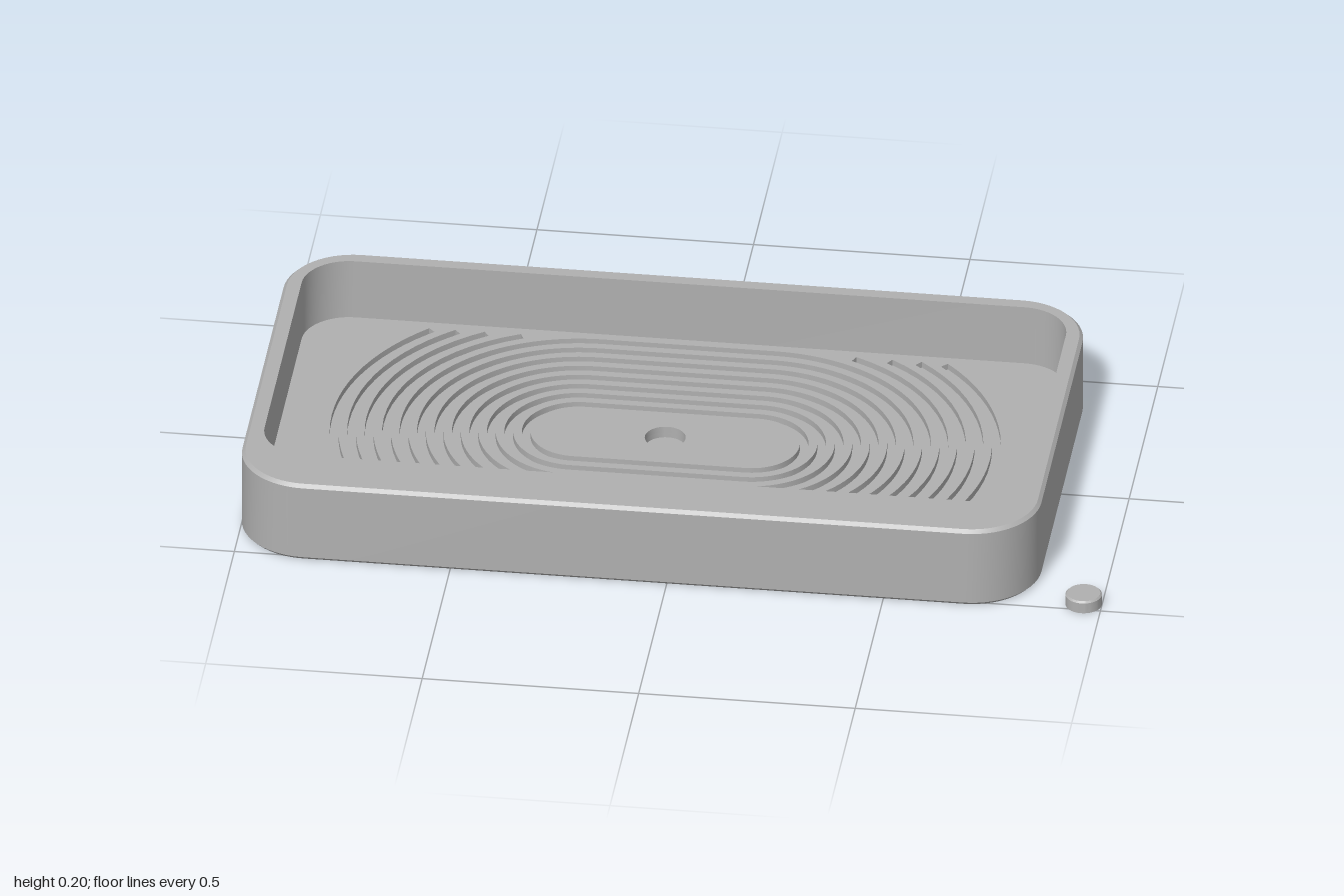
import * as THREE from 'three';
import { toCreasedNormals } from 'three/addons/utils/BufferGeometryUtils.js';

const grey = new THREE.MeshStandardMaterial({ color: 0xb0b0b0 });
grey.name = 'plainGrey';

const TRAY_X = -0.0775, WELL_Z = -0.0475;   // tray centre and well centre
const OUT = { w: 0.9225, d: 0.5175, r: 0.16 };
const WELL = { w: 0.8825, d: 0.4325, r: 0.11 };
const FLOOR_Y = 0.05, GROOVE_Y = 0.035, DIMPLE_Y = 0.022, PAD_DEPTH = 0.012;
const HALF_RUN = 0.2;                        // half the straight run of each groove
const GROOVE = 0.01;                         // half the groove width

// outline of a rounded rectangle given by half sizes, corner radius and inset
function outline({ w, d, r }, inset = 0, steps = 14) {
  const pts = [];
  for (let q = 0; q < 4; q++) {
    const sx = q === 0 || q === 3 ? 1 : -1, sy = q < 2 ? 1 : -1;
    for (let i = 0; i <= steps; i++) {
      const a = (q + i / steps) * Math.PI / 2;
      pts.push(new THREE.Vector2(
        sx * (w - r) + Math.cos(a) * (r - inset),
        sy * (d - r) + Math.sin(a) * (r - inset)));
    }
  }
  return pts;
}

// stadium outline around the straight run
function stadium(r) {
  return outline({ w: HALF_RUN + r, d: r, r }, 0, 24);
}

function circle(x, y, r) {
  return new THREE.Path().absarc(x, y, r, 0, Math.PI * 2).getPoints(20);
}

// closed slot following the end of a stadium, cut off near the long walls
function arcSlot(side, r) {
  const reach = Math.asin(0.4 / r), pts = [], n = 24;
  for (const [radius, dir] of [[r + GROOVE, 1], [r - GROOVE, -1]]) {
    for (let i = 0; i <= n; i++) {
      const a = dir * reach * (2 * i / n - 1);
      pts.push(new THREE.Vector2(side * (HALF_RUN + Math.cos(a) * radius), Math.sin(a) * radius));
    }
  }
  return pts;
}

function add(group, name, geometry, x = 0, y = 0, z = 0) {
  const mesh = new THREE.Mesh(geometry, grey);
  mesh.name = name;
  mesh.position.set(x, y, z);
  group.add(mesh);
}

// horizontal plate with holes, standing on y = 0
function plate(points, holes, depth) {
  const shape = new THREE.Shape(points);
  shape.holes = holes.map(h => new THREE.Path(h));
  const geo = new THREE.ExtrudeGeometry(shape, { depth, bevelEnabled: false });
  return toCreasedNormals(geo.rotateX(-Math.PI / 2), 0.6);
}

// skin joining successive outlines: [size, inset, height, z offset]
function skin(rows) {
  const pos = [], index = [];
  let n = 0;
  for (const [size, inset, y, z] of rows) {
    const pts = outline(size, inset);
    n = pts.length;
    for (const p of pts) pos.push(p.x, y, p.y + z);
  }
  for (let i = 0; i < rows.length - 1; i++) {
    for (let j = 0; j < n; j++) {
      const k = (j + 1) % n, a = i * n + j, b = i * n + k, c = a + n, d = b + n;
      index.push(a, c, b, b, c, d);
    }
  }
  const geo = new THREE.BufferGeometry();
  geo.setAttribute('position', new THREE.Float32BufferAttribute(pos, 3));
  geo.setIndex(index);
  return toCreasedNormals(geo, 0.6);
}

export function createModel() {
  const model = new THREE.Group();
  model.name = 'groovedTray';

  // outer wall, rim and inner wall with small chamfers
  add(model, 'trayWall', skin([
    [OUT, 0.008, 0, 0], [OUT, 0, 0.008, 0], [OUT, 0, 0.192, 0], [OUT, 0.008, 0.2, 0],
    [WELL, 0, 0.2, WELL_Z], [WELL, 0, FLOOR_Y, WELL_Z],
  ]), TRAY_X);

  // floor of the well, cut into islands by concentric grooves
  const floor = new THREE.Group();
  floor.name = 'wellFloor';
  floor.position.set(TRAY_X, 0, WELL_Z);
  model.add(floor);
  const thick = FLOOR_Y - GROOVE_Y;
  const dimple = circle(0, 0, 0.047);
  add(floor, 'grooveBed', plate(outline(WELL), [dimple], GROOVE_Y - DIMPLE_Y), 0, DIMPLE_Y);
  add(floor, 'dimpleBottom', new THREE.CircleGeometry(0.06, 40).rotateX(-Math.PI / 2), 0, DIMPLE_Y);

  const rings = [], slots = [];
  for (let i = 0; i < 12; i++) {
    const r = 0.12 + i * 0.04;
    if (i < 8) rings.push(r);
    else slots.push(arcSlot(1, r), arcSlot(-1, r));
  }
  rings.forEach((r, i) => {
    const hole = i === 0 ? dimple : stadium(rings[i - 1] + GROOVE);
    add(floor, 'floorBand', plate(stadium(r - GROOVE), [hole], thick), 0, GROOVE_Y);
  });
  const lastRing = stadium(rings[rings.length - 1] + GROOVE);
  add(floor, 'floorBorder', plate(outline(WELL), [lastRing, ...slots], thick), 0, GROOVE_Y);

  // underside with a shallow round pocket near each corner
  const corners = [[1, 1], [1, -1], [-1, 1], [-1, -1]].map(([sx, sz]) => [sx * 0.74, sz * 0.335]);
  add(model, 'underside',
    plate(outline(OUT, 0.008), corners.map(([x, z]) => circle(x, -z, 0.065)), PAD_DEPTH), TRAY_X);
  for (const [x, z] of corners) {
    add(model, 'pocketTop', new THREE.CircleGeometry(0.075, 40).rotateX(Math.PI / 2),
      TRAY_X + x, PAD_DEPTH, z);
  }

  // loose round plug beside the tray
  const profile = [[0, 0], [0.042, 0], [0.042, 0.026], [0.038, 0.03], [0, 0.03]]
    .map(([x, y]) => new THREE.Vector2(x, y));
  add(model, 'plug', toCreasedNormals(new THREE.LatheGeometry(profile, 40), 0.6), 0.958, 0, 0.4735);

  return model;
}
